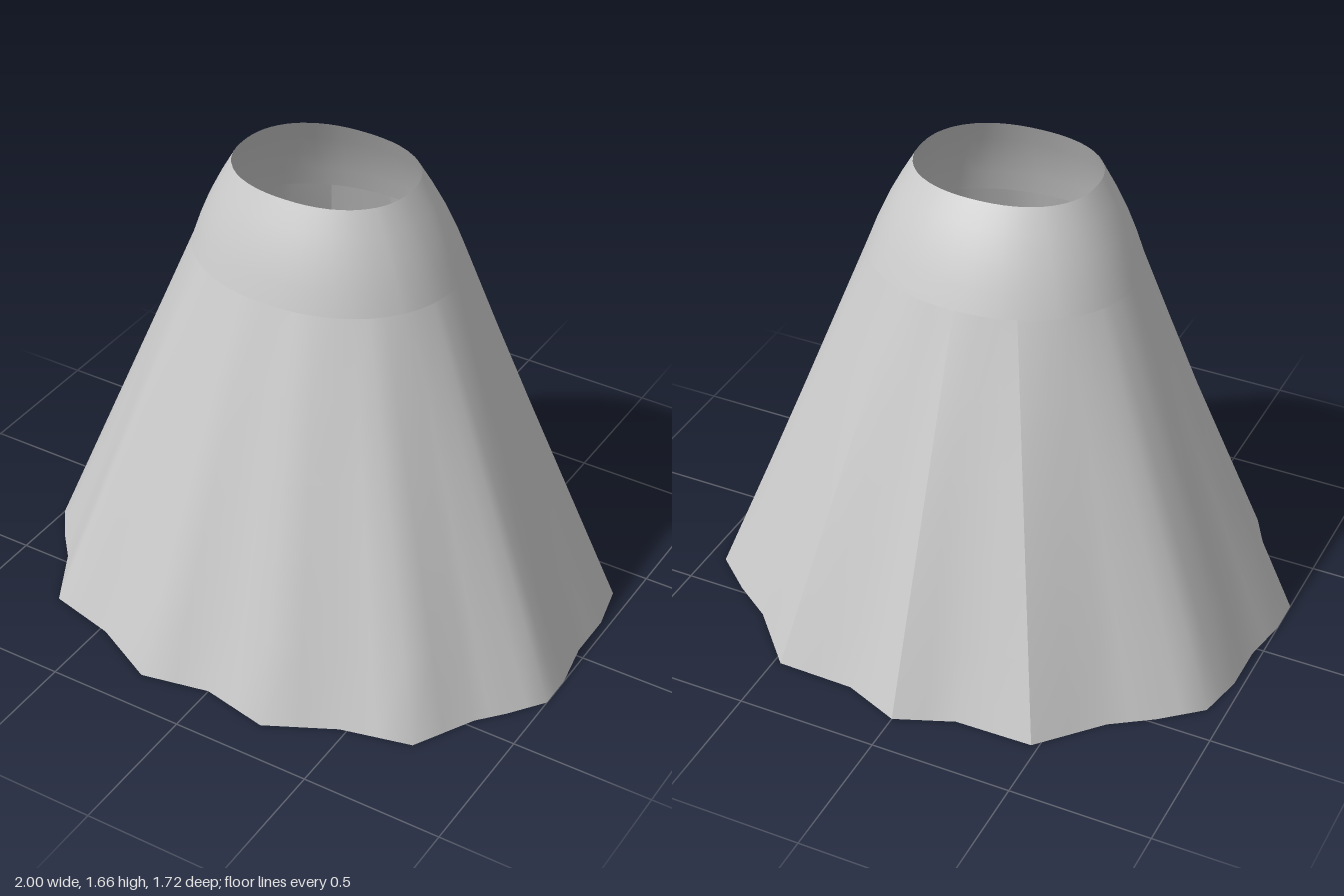
import * as THREE from 'three';

// Half of the hem outline as [x, z], from centre back round to centre front
const HALF_HEM = [
  [0, -0.86], [0.2, -0.78], [0.475, -0.775], [0.66, -0.575], [0.8, -0.48],
  [0.935, -0.365], [0.97, -0.2], [0.97, -0.03], [1, 0.14], [1, 0.265],
  [0.91, 0.385], [0.835, 0.47], [0.72, 0.68], [0.475, 0.74], [0.24, 0.86], [0, 0.81],
];
const CREASES = [0, 2, 28]; // hem corners that carry a sharp pleat
const SUB = 2; // columns per hem segment
const WAIST = { y: 1.665, a: 0.315, b: 0.25, z: 0.045, n: 2.25 };
const HIP = { y: 1.34, a: 0.47, b: 0.391, z: 0.026, n: 2.1 };

const material = new THREE.MeshStandardMaterial({ color: 0xcccccc, side: THREE.DoubleSide });

// Point on a squared oval in the direction of angle t (0 = back, +x next)
function ovalPoint(o, t) {
  const s = Math.sin(t), c = Math.cos(t);
  const r = (Math.abs(s / o.a) ** o.n + Math.abs(c / o.b) ** o.n) ** (-1 / o.n);
  return new THREE.Vector3(r * s, o.y, o.z - r * c);
}

// Surface through columns of points, each column running from top to bottom
function surface(name, columns, closed) {
  const rows = columns[0].length, n = columns.length, index = [];
  for (let j = 0; j < (closed ? n : n - 1); j++) {
    for (let i = 0; i < rows - 1; i++) {
      const a = j * rows + i, b = ((j + 1) % n) * rows + i;
      index.push(a, b, b + 1, a, b + 1, a + 1);
    }
  }
  const geometry = new THREE.BufferGeometry().setFromPoints(columns.flat());
  geometry.setIndex(index);
  geometry.computeVertexNormals();
  const mesh = new THREE.Mesh(geometry, material);
  mesh.name = name;
  return mesh;
}

export function createModel() {
  const skirt = new THREE.Group();
  skirt.name = 'skirt';

  // Full hem, mirrored and subdivided
  const corners = [...HALF_HEM, ...HALF_HEM.slice(1, -1).reverse().map(([x, z]) => [-x, z])];
  const hem = [];
  corners.forEach(([x, z], k) => {
    const [x2, z2] = corners[(k + 1) % corners.length];
    for (let s = 0; s < SUB; s++) {
      const f = s / SUB;
      hem.push(new THREE.Vector3(x + (x2 - x) * f, 0, z + (z2 - z) * f));
    }
  });

  // Columns of the smooth yoke and of the pleated part below it
  const yoke = [], pleats = [];
  for (const h of hem) {
    const t = Math.atan2(h.x, 0.03 - h.z);
    const waist = ovalPoint(WAIST, t), hip = ovalPoint(HIP, t);
    yoke.push([0, 0.25, 0.5, 0.75, 1].map((f) => {
      const p = waist.clone().lerp(hip, f);
      const bulge = 0.012 * Math.sin(Math.PI * f);
      return p.add(new THREE.Vector3(Math.sin(t) * bulge, 0, -Math.cos(t) * bulge));
    }));
    pleats.push([0, 0.2, 0.4, 0.6, 0.8, 1].map((f) => hip.clone().lerp(h, f)));
  }
  skirt.add(surface('yoke', yoke, true));

  // One smooth panel between each pair of sharp pleats
  CREASES.forEach((start, k) => {
    const from = start * SUB;
    const to = k + 1 < CREASES.length ? CREASES[k + 1] * SUB : hem.length;
    const columns = [];
    for (let j = from; j <= to; j++) columns.push(pleats[j % hem.length]);
    skirt.add(surface('pleatedPanel' + (k + 1), columns, false));
  });
  return skirt;
}
